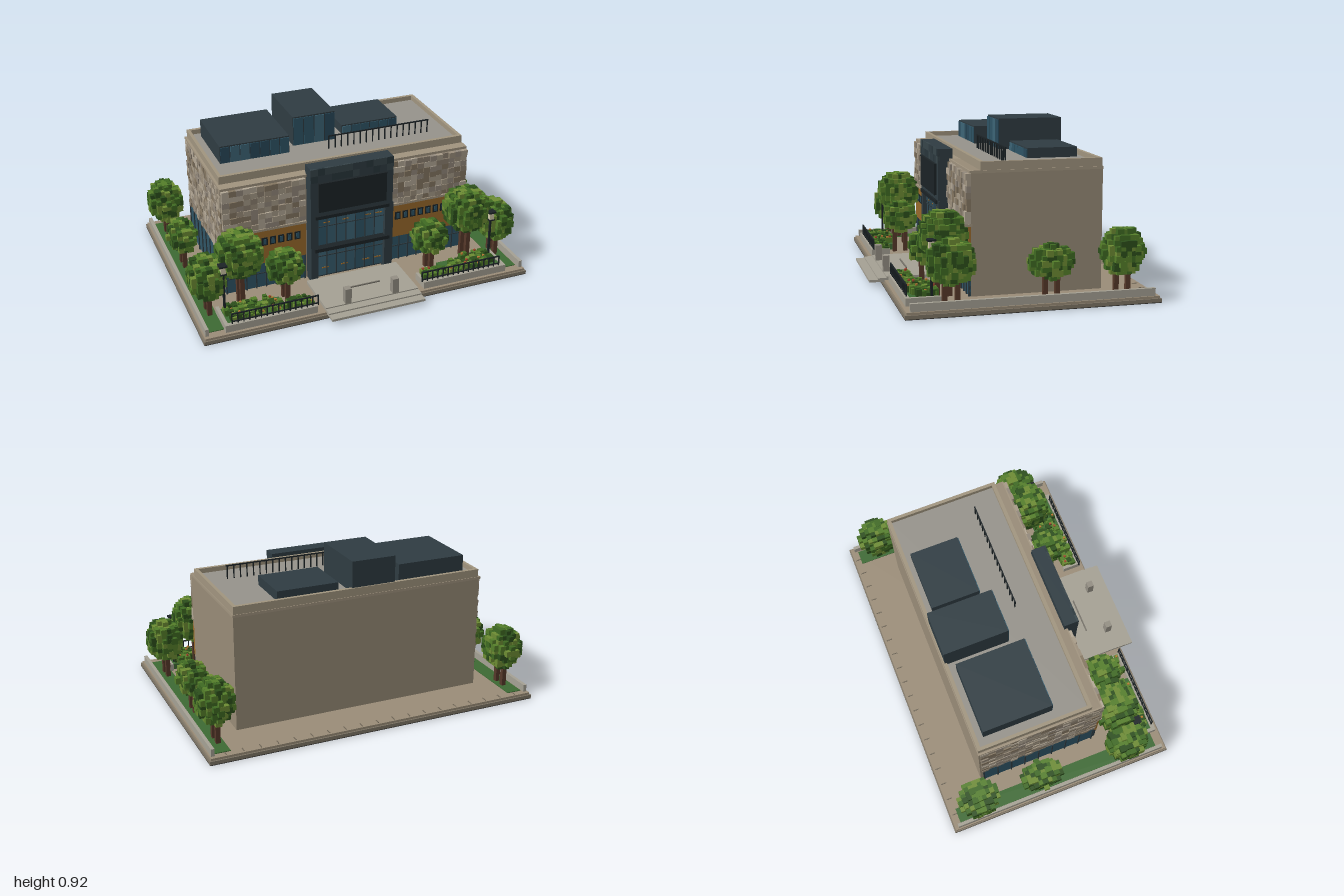
import * as THREE from 'three';
import { mergeGeometries } from 'three/addons/utils/BufferGeometryUtils.js';

const C = {
  paving: 0x9b8d78, wall: 0x988b77, roof: 0x96938b, dark: 0x2f3c42, black: 0x1c2326, glass: 0x2f5566,
  paleGlass: 0x3d6577, wood: 0x9a6a2c, concrete: 0xa5a194, lawn: 0x3d6a33, trunk: 0x56392a, lamp: 0xcfc7a8,
};
const GREENS = [0x2c4f1b, 0x3f6a22, 0x557f2a, 0x6d8c33];
const STONES = [0x8d8170, 0x9b8e7b, 0xa79b88, 0x93897c, 0xb3a896, 0x857762];

let seed = 7;
function rand() {
  seed = (seed * 16807) % 2147483647;
  return seed / 2147483647;
}

// One mesh from boxes given as [x0, x1, y0, y1, z0, z1]
function boxes(parent, name, color, list) {
  const geos = list.map(([x0, x1, y0, y1, z0, z1]) =>
    new THREE.BoxGeometry(x1 - x0, y1 - y0, z1 - z0).translate((x0 + x1) / 2, (y0 + y1) / 2, (z0 + z1) / 2));
  const mesh = new THREE.Mesh(mergeGeometries(geos), new THREE.MeshStandardMaterial({ color }));
  mesh.name = name;
  parent.add(mesh);
}
const mirror = (list) => list.flatMap((b) => [b, [-b[1], -b[0], b[2], b[3], b[4], b[5]]]);
const range = (n, f) => Array.from({ length: n }, (_, i) => f(i));

// Sorts boxes at random over a palette, one mesh per colour
function mixed(parent, name, palette, list) {
  const bins = palette.map(() => []);
  list.forEach((b) => bins[Math.floor(rand() * palette.length)].push(b));
  bins.forEach((bin, i) => bin.length && boxes(parent, name + (i + 1), palette[i], bin));
}

// Blocky crown: surface cells of a rounded volume, on twin trunks
function tree(parent, name, x, z, y0, y1, rx, rz) {
  const g = new THREE.Group();
  g.name = name;
  const ry = (y1 - y0) / 2, cy = (y0 + y1) / 2, s = 0.027, cells = [];
  const inside = (a, b, c) => (a / rx) ** 2 + (b / ry) ** 2 + (c / rz) ** 2 < 1.0;
  const n = Math.ceil(Math.max(rx, ry, rz) / s);
  for (let i = -n; i <= n; i++) for (let j = -n; j <= n; j++) for (let k = -n; k <= n; k++) {
    const a = i * s, b = j * s, c = k * s;
    if (!inside(a, b, c)) continue;
    const buried = inside(a + s, b, c) && inside(a - s, b, c) && inside(a, b + s, c) &&
      inside(a, b - s, c) && inside(a, b, c + s) && inside(a, b, c - s);
    if (buried) continue;
    const h = s * (0.5 + rand() * 0.2);
    cells.push([x + a - h, x + a + h, cy + b - h, cy + b + h, z + c - h, z + c + h]);
  }
  mixed(g, 'foliage', GREENS, cells);
  boxes(g, 'trunks', C.trunk, [-0.034, 0.034].map((d) =>
    [x - 0.013, x + 0.013, 0.035, cy, z + d - 0.013, z + d + 0.013]));
  parent.add(g);
}

export function createModel() {
  const model = new THREE.Group();
  model.name = 'civicBuilding';
  seed = 7;

  // Ground slab, lawns and low boundary walls
  boxes(model, 'underside', 0x3b3936, [[-1, 1, 0, 0.004, -0.74, 0.66]]);
  boxes(model, 'baseSlab', 0x7f7666, [[-1, 1, 0.004, 0.024, -0.74, 0.66]]);
  boxes(model, 'paving', C.paving, [[-0.992, 0.992, 0.024, 0.037, -0.732, 0.652]]);
  boxes(model, 'lawns', C.lawn, mirror([[0.868, 0.957, 0.036, 0.041, -0.69, 0.6], [0.5, 0.85, 0.036, 0.072, 0.45, 0.615]]));
  boxes(model, 'boundaryWalls', C.concrete, mirror([[0.964, 0.984, 0.036, 0.08, -0.71, 0.63]]));
  boxes(model, 'pavingJoints', 0x6f6657, range(19, (i) => [-0.9 + i * 0.1, -0.894 + i * 0.1, 0.036, 0.039, -0.72, -0.685]));

  // Entrance platform, steps, mat and bollards
  boxes(model, 'entranceSteps', C.concrete, [
    [-0.285, 0.29, 0.028, 0.042, 0.43, 0.74], [-0.285, 0.29, 0.036, 0.05, 0.33, 0.69], [-0.285, 0.29, 0.04, 0.057, 0.33, 0.64]]);
  boxes(model, 'doorMat', 0x77736a, [[-0.11, 0.11, 0.056, 0.064, 0.49, 0.498]]);
  boxes(model, 'bollards', 0x948f84, mirror([[0.128, 0.166, 0.05, 0.15, 0.602, 0.64]]));

  // Front planters with shrubs, flowers and fences
  boxes(model, 'planterWalls', C.concrete, mirror([
    [0.33, 0.87, 0.036, 0.08, 0.61, 0.635], [0.33, 0.35, 0.036, 0.08, 0.52, 0.61], [0.85, 0.87, 0.036, 0.08, 0.43, 0.61]]));
  const shrubs = [], flowers = [];
  for (const side of [-1, 1]) for (let i = 0; i < 110; i++) {
    const x = side * (0.35 + rand() * 0.48), z = (Math.abs(x) > 0.55 ? 0.46 : 0.53) + rand() * (Math.abs(x) > 0.55 ? 0.14 : 0.07);
    const h = 0.01 + rand() * 0.007, top = 0.09 + rand() * 0.025;
    shrubs.push([x - h, x + h, 0.04, top, z - h, z + h]);
    if (i % 9 === 0) flowers.push([x - 0.006, x + 0.006, top, top + 0.01, z - 0.006, z + 0.006]);
  }
  mixed(model, 'shrubs', GREENS, shrubs);
  mixed(model, 'flowers', [0xa5482f, 0xb87934], flowers);
  boxes(model, 'gardenFences', C.black, mirror([
    [0.32, 0.83, 0.138, 0.145, 0.618, 0.625], [0.32, 0.83, 0.09, 0.096, 0.618, 0.625],
    ...range(16, (i) => [0.32 + i * 0.0337, 0.326 + i * 0.0337, 0.08, 0.14, 0.618, 0.625])]));

  // Lamp posts
  boxes(model, 'lampPosts', C.black, mirror([
    [0.825, 0.837, 0.036, 0.33, 0.482, 0.494], [0.812, 0.85, 0.32, 0.327, 0.469, 0.507], [0.808, 0.854, 0.37, 0.38, 0.465, 0.511]]));
  boxes(model, 'lampHeads', C.lamp, mirror([[0.817, 0.845, 0.327, 0.37, 0.474, 0.502]]));

  // Main block, cornice, parapet and roof
  boxes(model, 'mainBlock', C.wall, [[-0.757, 0.76, 0.035, 0.72, -0.48, 0.258]]);
  boxes(model, 'cornice', 0xa1947f, [[-0.766, 0.762, 0.705, 0.72, -0.482, 0.266]]);
  boxes(model, 'parapet', 0xa1957f, [
    [-0.752, 0.757, 0.72, 0.766, 0.185, 0.206], [-0.752, 0.757, 0.72, 0.766, -0.478, -0.457],
    [-0.752, -0.733, 0.72, 0.766, -0.457, 0.185], [0.738, 0.757, 0.72, 0.766, -0.457, 0.185]]);
  boxes(model, 'roofDeck', C.roof, [[-0.734, 0.739, 0.718, 0.738, -0.458, 0.186]]);

  // Stone tiles on the front wings and the right-hand side wall
  const tiles = [];
  for (const x0 of [-0.76, 0.268]) for (let i = 0; i < 12; i++) for (let j = 0; j < 8; j++) {
    const x = x0 + i * 0.041, y = 0.432 + j * 0.034;
    tiles.push([x, x + 0.041, y, y + 0.034, 0.25, 0.276 + rand() * 0.014]);
  }
  for (let i = 0; i < 16; i++) for (let j = 0; j < 13; j++) {
    const z = -0.47 + i * 0.0455, y = 0.262 + j * 0.034;
    tiles.push([-0.762 - rand() * 0.008, -0.75, y, y + 0.034, z, z + 0.0455]);
  }
  mixed(model, 'stoneTiles', STONES, tiles);

  // Timber band with small windows, ground floor glazing
  boxes(model, 'timberBand', C.wood, mirror([[0.266, 0.76, 0.2, 0.425, 0.25, 0.273]]));
  boxes(model, 'bandLedges', 0xa1947f, mirror([[0.266, 0.762, 0.42, 0.434, 0.25, 0.29]]));
  boxes(model, 'windowFrames', C.black, mirror(range(9, (i) => [0.3 + i * 0.05, 0.336 + i * 0.05, 0.318, 0.368, 0.26, 0.277])));
  boxes(model, 'smallWindows', C.glass, mirror(range(9, (i) => [0.309 + i * 0.05, 0.327 + i * 0.05, 0.326, 0.36, 0.26, 0.28])));
  boxes(model, 'groundGlazing', C.glass, [...mirror([[0.266, 0.757, 0.04, 0.2, 0.25, 0.266]]), [-0.762, -0.75, 0.045, 0.255, -0.46, 0.255]]);
  boxes(model, 'groundMullions', C.dark, [
    ...mirror([...range(9, (i) => [0.27 + i * 0.06, 0.277 + i * 0.06, 0.037, 0.2, 0.26, 0.272]), [0.266, 0.757, 0.13, 0.136, 0.26, 0.27]]),
    ...range(9, (i) => [-0.768, -0.755, 0.037, 0.258, -0.463 + i * 0.088, -0.455 + i * 0.088])]);

  // Central entrance tower
  boxes(model, 'towerFrame', C.dark, [
    [-0.255, 0.255, 0.475, 0.775, 0.245, 0.33], [-0.255, -0.21, 0.037, 0.475, 0.245, 0.33],
    [0.21, 0.262, 0.037, 0.475, 0.245, 0.33], [-0.21, 0.21, 0.037, 0.475, 0.245, 0.285]]);
  mixed(model, 'towerPanels', [0x2f3c42, 0x37454a, 0x29363b], range(24, (k) => {
    const x = -0.255 + (k % 12) * 0.0425, y = 0.69 + Math.floor(k / 12) * 0.0425;
    return [x, x + 0.0425, y, y + 0.0425, 0.32, 0.333];
  }));
  boxes(model, 'displayScreen', C.black, [[-0.21, 0.21, 0.502, 0.685, 0.32, 0.344]]);
  mixed(model, 'towerGlass', [C.glass, C.paleGlass, 0x375d6f], range(14, (k) => {
    const x = -0.21 + (k % 7) * 0.06, up = k > 6;
    return [x, x + 0.06, up ? 0.265 : 0.058, up ? 0.455 : 0.24, 0.28, 0.306];
  }));
  boxes(model, 'towerMullions', C.dark, [
    ...range(6, (i) => [-0.153 + i * 0.06, -0.147 + i * 0.06, 0.058, 0.46, 0.28, 0.312]),
    [-0.21, 0.21, 0.188, 0.194, 0.28, 0.311], [-0.21, 0.21, 0.385, 0.39, 0.28, 0.311]]);
  boxes(model, 'canopies', C.black, [[-0.235, 0.235, 0.24, 0.262, 0.28, 0.345], [-0.23, 0.23, 0.455, 0.475, 0.28, 0.342]]);
  boxes(model, 'warmLights', C.wood, [-0.17, -0.05, 0.09, 0.16].flatMap((x) =>
    [[x, x + 0.04, 0.408, 0.414, 0.3, 0.309], [x - 0.01, x + 0.035, 0.105, 0.112, 0.3, 0.309]]));

  // Rooftop plant rooms with glazed fronts
  const rooms = [[-0.68, -0.26, 0.845, -0.42, -0.005], [-0.21, 0.055, 0.92, -0.47, -0.08], [0.12, 0.485, 0.795, -0.425, -0.13]];
  boxes(model, 'plantRooms', C.dark, rooms.map(([x0, x1, y, z0, z1]) => [x0, x1, 0.73, y, z0, z1 - 0.003]));
  mixed(model, 'plantRoomGlass', [C.glass, C.paleGlass, 0x28495a], rooms.flatMap(([x0, x1, y, , z1]) => {
    const n = Math.round((x1 - x0) / 0.06), w = (x1 - x0) / n;
    return range(n, (i) => [x0 + i * w + 0.003, x0 + (i + 1) * w - 0.003, 0.74, y - 0.008, z1 - 0.01, z1 + 0.002]);
  }));

  // Roof railing
  boxes(model, 'roofRailing', C.black, [[-0.03, 0.62, 0.815, 0.822, 0.026, 0.033],
    ...range(17, (i) => [-0.03 + i * 0.04, -0.024 + i * 0.04, 0.735, 0.818, 0.026, 0.033])]);

  // Trees, mirrored across the entrance
  for (const s of [-1, 1]) {
    const side = s > 0 ? 'left' : 'right';
    tree(model, side + 'LargeTree', s * 0.71, 0.4, 0.25, 0.505, 0.128, 0.128);
    tree(model, side + 'SmallTree', s * 0.453, 0.435, 0.165, 0.355, 0.1, 0.1);
    tree(model, side + 'FrontTree', s * 0.905, 0.4, 0.155, 0.385, 0.1, 0.125);
    tree(model, side + 'MiddleTree', s * 0.903, -0.145, 0.155, 0.33, 0.083, 0.115);
    tree(model, side + 'BackTree', s * 0.903, -0.545, 0.155, 0.4, 0.095, 0.115);
  }
  return model;
}
